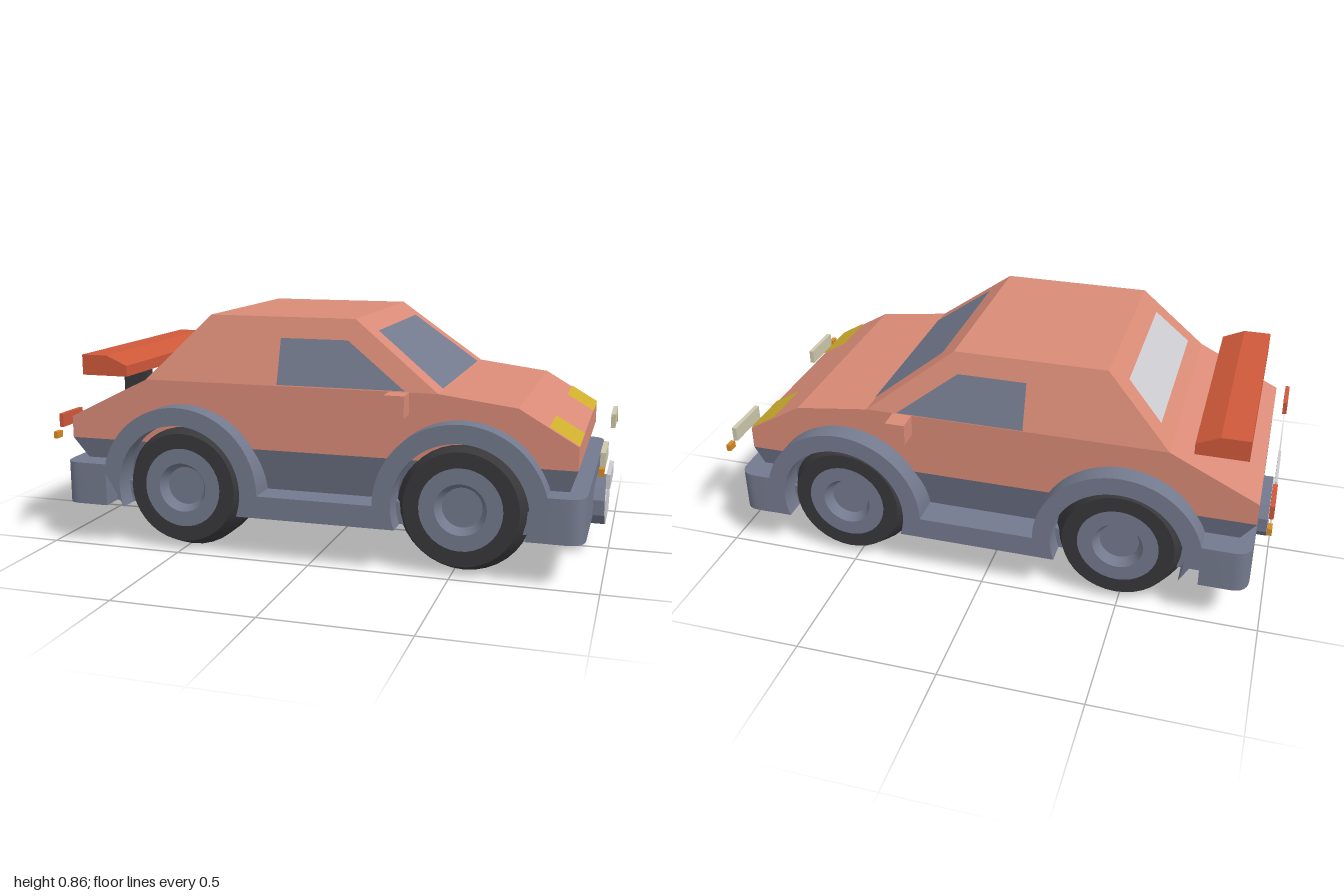
import * as THREE from 'three';
import { toCreasedNormals } from 'three/addons/utils/BufferGeometryUtils.js';
import { ConvexGeometry } from 'three/addons/geometries/ConvexGeometry.js';

const material = (name, color) => Object.assign(new THREE.MeshStandardMaterial({ color }), { name });

export function createModel() {
  const car = new THREE.Group();
  car.name = 'car';
  const paint = material('salmon paint', 0xd98b77);
  const slate = material('slate', 0x747a8e);
  const rubber = material('rubber', 0x38383b);
  const silver = material('silver', 0xcccbd0);
  const yellow = material('yellow lamp', 0xcfae2e);
  const cream = material('cream lamp', 0xcdc8ae);
  const amber = material('amber lamp', 0xd98a24);
  const red = material('red', 0xd0593a);

  const add = (name, geometry, mat) => {
    const mesh = new THREE.Mesh(geometry, mat);
    mesh.name = name;
    car.add(mesh);
    return mesh;
  };
  // Box given by its limits on each axis
  const box = (name, mat, [x0, x1], [y0, y1], [z0, z1]) => {
    const mesh = add(name, new THREE.BoxGeometry(x1 - x0, y1 - y0, Math.abs(z1 - z0)), mat);
    mesh.position.set((x0 + x1) / 2, (y0 + y1) / 2, (z0 + z1) / 2);
  };
  const hull = (name, mat, points) =>
    add(name, new ConvexGeometry(points.map(p => new THREE.Vector3(...p))), mat);
  const extrude = (shape, depth, curveSegments = 24) =>
    new THREE.ExtrudeGeometry(shape, { depth, bevelEnabled: false, curveSegments });
  const polygon = points => new THREE.Shape(points.map(p => new THREE.Vector2(...p)));
  // Flat four-cornered panel lifted slightly off the body, facing the given direction
  const panel = (name, mat, corners, facing) => {
    let p = corners.map(c => new THREE.Vector3(...c));
    const normalOf = q => q[1].clone().sub(q[0]).cross(q[2].clone().sub(q[0])).normalize();
    if (normalOf(p).dot(new THREE.Vector3(...facing)) < 0) p = p.reverse();
    const n = normalOf(p);
    p.forEach(v => v.addScaledVector(n, 0.004));
    const g = new THREE.BufferGeometry().setFromPoints([p[0], p[1], p[2], p[0], p[2], p[3]]);
    g.computeVertexNormals();
    add(name, g, mat);
  };

  // Painted lower body, seen from the side
  const W = 0.425;
  const lower = extrude(polygon([[-0.95, 0.387], [0.91, 0.387], [0.91, 0.468], [0.71, 0.585],
    [0.44, 0.62], [-0.64, 0.62], [-0.95, 0.467]]), 2 * W);
  lower.translate(0, 0, -W);
  add('body', lower, paint);

  // Cabin tapering to the roof
  const ring = (x0, x1, y, z) => [[x0, y, z], [x1, y, z], [x1, y, -z], [x0, y, -z]];
  hull('cabin', paint, [...ring(-0.64, 0.44, 0.62, W), ...ring(-0.41, 0.13, 0.855, 0.35)]);

  // Underbody narrowing downwards
  hull('underbody', slate, [...ring(-0.95, 0.91, 0.387, W), ...ring(-0.85, 0.86, 0.235, 0.385)]);
  box('floor', slate, [-0.79, 0.84], [0.155, 0.235], [-0.42, 0.42]);

  // Windows
  const front = y => 0.44 - (y - 0.62) * 0.31 / 0.235;
  const rear = y => -0.64 + (y - 0.62) * 0.23 / 0.235;
  panel('windscreen', slate, [[front(0.622), 0.622, 0.345], [front(0.622), 0.622, -0.345],
    [front(0.807), 0.807, -0.285], [front(0.807), 0.807, 0.285]], [1, 1, 0]);
  panel('rearWindow', silver, [[rear(0.67), 0.67, 0.33], [rear(0.67), 0.67, -0.33],
    [rear(0.797), 0.797, -0.285], [rear(0.797), 0.797, 0.285]], [-1, 1, 0]);

  // Bumpers with rounded outer corners
  const bumper = (name, inner, outer) => {
    const d = Math.sign(outer) * 0.06;
    const s = new THREE.Shape();
    s.moveTo(inner, -0.5);
    s.lineTo(outer - d, -0.5);
    s.quadraticCurveTo(outer, -0.5, outer, -0.43);
    s.lineTo(outer, 0.43);
    s.quadraticCurveTo(outer, 0.5, outer - d, 0.5);
    s.lineTo(inner, 0.5);
    const g = extrude(s, 0.155, 6);
    g.rotateX(-Math.PI / 2);
    g.translate(0, 0.155, 0);
    add(name, toCreasedNormals(g, 0.5), slate);
  };
  bumper('frontBumper', 0.83, 0.945);
  bumper('rearBumper', -0.78, -0.95);

  // Sill and wheel arches in one side outline
  const rearX = -0.49, frontX = 0.53, axleY = 0.235, R = 0.235;
  const cut = Math.asin(0.08 / R), shoulder = Math.asin(0.075 / 0.3);
  const side = new THREE.Shape();
  side.moveTo(-0.8, 0.155);
  side.absarc(rearX, axleY, R, Math.PI + cut, -cut, true);
  side.absarc(frontX, axleY, R, Math.PI + cut, -cut, true);
  side.lineTo(0.85, 0.155);
  side.lineTo(0.85, 0.31);
  side.absarc(frontX, axleY, 0.3, shoulder, Math.PI, false);
  side.absarc(rearX, axleY, 0.3, 0, Math.PI - shoulder, false);
  side.lineTo(-0.8, 0.31);
  const archGeometry = toCreasedNormals(extrude(side, 0.139), 0.5);

  // Wheel profiles, turned about the axle
  const lathe = pts => toCreasedNormals(
    new THREE.LatheGeometry(pts.map(p => new THREE.Vector2(...p)), 36).rotateX(Math.PI / 2), 0.35);
  const tyre = lathe([[0, -0.135], [0.2, -0.135], [R, -0.055], [R, 0.055], [0.2, 0.135], [0.145, 0.135]]);
  const rim = lathe([[0.145, 0.135], [0.09, 0.135], [0.07, 0.1], [0, 0.1]]);

  for (const s of [1, -1]) {
    add('wheelArches', archGeometry, slate).position.z = s > 0 ? 0.36 : -0.499;
    for (const x of [rearX, frontX]) {
      for (const [name, g, mat] of [['tyre', tyre, rubber], ['rim', rim, slate]]) {
        const part = add(name, g, mat);
        part.position.set(x, axleY, s * 0.33);
        part.rotation.y = s > 0 ? 0 : Math.PI;
      }
    }
    // Side window lies on the sloping cabin side
    const z = y => s * (W - (y - 0.62) * 0.075 / 0.235);
    panel('sideWindow', slate, [[-0.135, 0.623, z(0.623)], [0.325, 0.623, z(0.623)],
      [0.11, 0.782, z(0.782)], [-0.135, 0.782, z(0.782)]], [0, 0, s]);
    box('mirror', paint, [0.27, 0.34], [0.545, 0.62], [s * 0.42, s * 0.5]);

    // Lamps
    panel('headlight', yellow, [[0.81, 0.5265, s * 0.215], [0.91, 0.468, s * 0.215],
      [0.91, 0.468, s * W], [0.81, 0.5265, s * W]], [1, 1, 0]);
    box('frontLamp', cream, [0.977, 0.994], [0.402, 0.455], [s * 0.245, s * W]);
    box('frontIndicator', amber, [0.977, 0.994], [0.388, 0.413], [s * 0.443, s * 0.479]);
    box('tailLamp', red, [-1, -0.984], [0.425, 0.475], [s * 0.295, s * 0.435]);
    box('rearIndicator', amber, [-1, -0.984], [0.39, 0.415], [s * 0.443, s * 0.479]);
    box('spoilerSupport', rubber, [-0.855, -0.765], [0.5, 0.63], [s * 0.13, s * 0.19]);
  }

  // Spoiler blade
  const blade = extrude(polygon([[-0.9, 0.625], [-0.72, 0.625], [-0.72, 0.665], [-0.8, 0.7], [-0.9, 0.7]]), 0.84);
  blade.translate(0, 0, -0.42);
  add('spoiler', blade, red);

  // Eight-sided guards with a silver face, and number plates above them
  const octagon = polygon([[-0.1, 0.12], [0.1, 0.12], [0.135, 0.16], [0.135, 0.215],
    [0.1, 0.255], [-0.1, 0.255], [-0.135, 0.215], [-0.135, 0.16]]);
  for (const s of [1, -1]) {
    const guard = add('bumperGuard', extrude(octagon, 0.045), slate);
    const face = add('guardFace', extrude(octagon, 0.004), silver);
    guard.rotation.y = face.rotation.y = s * Math.PI / 2;
    guard.position.x = s * 0.94;
    face.position.x = s * 0.985;
  }
  box('frontPlate', silver, [0.985, 1], [0.253, 0.305], [-0.11, 0.11]);
  box('rearPlate', silver, [-1, -0.99], [0.318, 0.367], [-0.11, 0.11]);

  return car;
}
